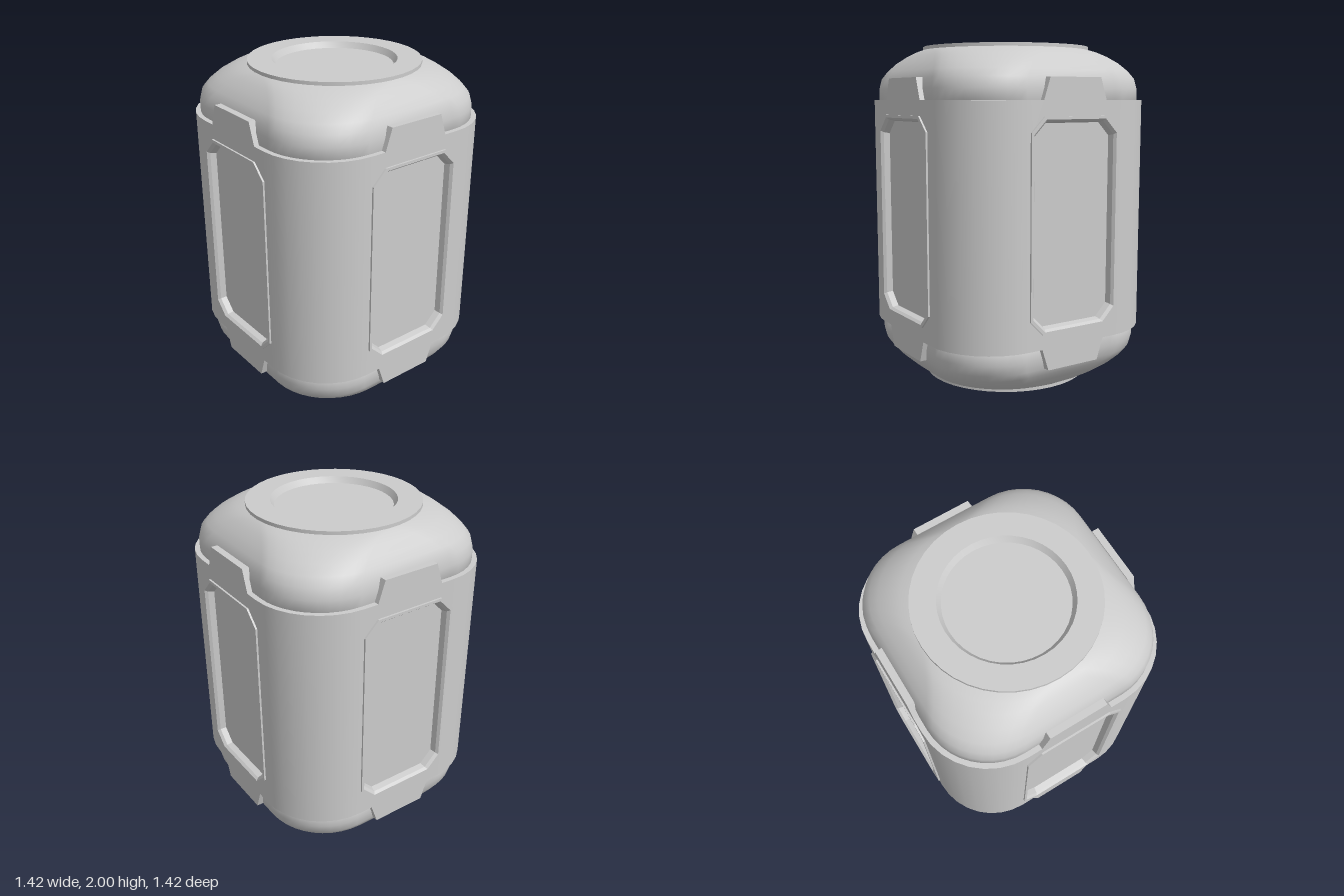
import * as THREE from 'three';
import { toCreasedNormals } from 'three/addons/utils/BufferGeometryUtils.js';

const HALF = 0.7, RADIUS = 0.4, FLAT = HALF - RADIUS, LOW = 0.32, HIGH = 1.685;

// Skins a list of closed rings, each with the same number of [x, y, z] points
function loft(rings) {
  const n = rings[0].length, index = [];
  for (let i = 0; i < rings.length - 1; i++) {
    for (let j = 0; j < n; j++) {
      const a = i * n + j, b = i * n + (j + 1) % n;
      index.push(a, b, b + n, a, b + n, a + n);
    }
  }
  const geo = new THREE.BufferGeometry();
  geo.setAttribute('position', new THREE.Float32BufferAttribute(rings.flat(2), 3));
  geo.setIndex(index);
  geo.computeVertexNormals();
  return geo;
}

// Rounded square at height y; with half equal to radius it is a circle
function roundedRing(y, half, radius, steps = 10) {
  const pts = [], c = half - radius;
  for (let q = 0; q < 4; q++) {
    const m = (q + 0.5) * Math.PI / 2;
    const cx = Math.sign(Math.cos(m)) * c, cz = -Math.sign(Math.sin(m)) * c;
    for (let s = 0; s <= steps; s++) {
      const t = (q + s / steps) * Math.PI / 2;
      pts.push([cx + radius * Math.cos(t), y, cz - radius * Math.sin(t)]);
    }
  }
  return pts;
}

// Rectangle with cut corners, centred on the panel
function octagon(w, h, cut) {
  return [[w, -h + cut], [w, h - cut], [w - cut, h], [-w + cut, h],
    [-w, h - cut], [-w, -h + cut], [-w + cut, -h], [w - cut, -h]];
}
const toVec = (pts, dy = 0) => pts.map(([x, y]) => new THREE.Vector2(x, y + dy));

export function createModel() {
  const group = new THREE.Group();
  const grey = new THREE.MeshStandardMaterial({ color: 0xcccccc });
  grey.name = 'light grey';
  const add = (parent, name, geo) => {
    const mesh = new THREE.Mesh(geo, grey);
    mesh.name = name;
    parent.add(mesh);
    return mesh;
  };

  // Inner body: rounded square that closes to a circle at both ends, narrowed behind the panels
  const half = [[1.64, 0.64, 0.37], [1.675, 0.67, 0.37], [1.75, 0.67, 0.37], [1.81, 0.658, 0.37],
    [1.855, 0.632, 0.375], [1.9, 0.597, 0.39], [1.94, 0.556, 0.42], [1.965, 0.525, 0.455], [1.98, 0.5, 0.5]];
  const profile = [...half.map(([y, a, r]) => [2 - y, a, r]).reverse(), ...half];
  add(group, 'innerBody', loft(profile.map((p) => roundedRing(...p))));

  // End caps with a shallow round recess
  const capProfile = [[0.5, 1.965], [0.5, 2], [0.36, 2], [0.338, 1.965], [0, 1.965]];
  for (const top of [true, false]) {
    const lathe = new THREE.LatheGeometry(toVec(capProfile), 40);
    const cap = add(group, top ? 'topCap' : 'bottomCap', toCreasedNormals(lathe, 0.5));
    if (!top) {
      cap.rotation.x = Math.PI;
      cap.position.y = 2;
    }
  }

  // Shell wall with locking tabs above and below and a cut-out for the panel
  const wall = new THREE.Shape(toVec([
    [-FLAT, LOW], [-0.215, LOW], [-0.173, 0.195], [0.173, 0.195], [0.215, LOW], [FLAT, LOW],
    [FLAT, HIGH], [0.215, HIGH], [0.173, 1.81], [-0.173, 1.81], [-0.215, HIGH], [-FLAT, HIGH]]));
  wall.holes.push(new THREE.Path(toVec(octagon(0.285, 0.582, 0.08), 1.002).reverse()));
  const wallGeo = new THREE.ExtrudeGeometry(wall, { depth: 0.04, bevelEnabled: false });
  wallGeo.translate(0, 0, HALF - 0.04);

  // Raised panel frame and sunken floor
  const frameRings = [[0.3, 0.597, 0.085, 0.69], [0.3, 0.597, 0.085, 0.711], [0.284, 0.581, 0.08, 0.711],
    [0.272, 0.569, 0.077, 0.695], [0.264, 0.561, 0.075, 0.66]];
  const frameGeo = toCreasedNormals(loft(frameRings.map(([w, h, c, z]) =>
    octagon(w, h, c).map(([x, y]) => [x, y + 1.002, z]))), 0.2);
  const floorGeo = new THREE.ShapeGeometry(new THREE.Shape(toVec(octagon(0.266, 0.563, 0.075), 1.002)));
  floorGeo.translate(0, 0, 0.66);

  // Rounded shell corner with rims at both ends
  const cornerGeo = new THREE.CylinderGeometry(RADIUS, RADIUS, HIGH - LOW, 8, 1, true, 0, Math.PI / 2);
  cornerGeo.translate(FLAT, (LOW + HIGH) / 2, FLAT);
  const upperRim = new THREE.RingGeometry(RADIUS - 0.05, RADIUS, 8, 1, -Math.PI / 2, Math.PI / 2);
  upperRim.rotateX(-Math.PI / 2).translate(FLAT, HIGH, FLAT);
  const lowerRim = new THREE.RingGeometry(RADIUS - 0.05, RADIUS, 8, 1, 0, Math.PI / 2);
  lowerRim.rotateX(Math.PI / 2).translate(FLAT, LOW, FLAT);

  ['front', 'left', 'back', 'right'].forEach((name, i) => {
    const side = new THREE.Group();
    side.name = name + 'Side';
    side.rotation.y = i * Math.PI / 2;
    add(side, 'shellWall', wallGeo);
    add(side, 'panelFrame', frameGeo);
    add(side, 'panelFloor', floorGeo);
    add(side, 'shellCorner', cornerGeo);
    add(side, 'cornerUpperRim', upperRim);
    add(side, 'cornerLowerRim', lowerRim);
    group.add(side);
  });
  return group;
}
